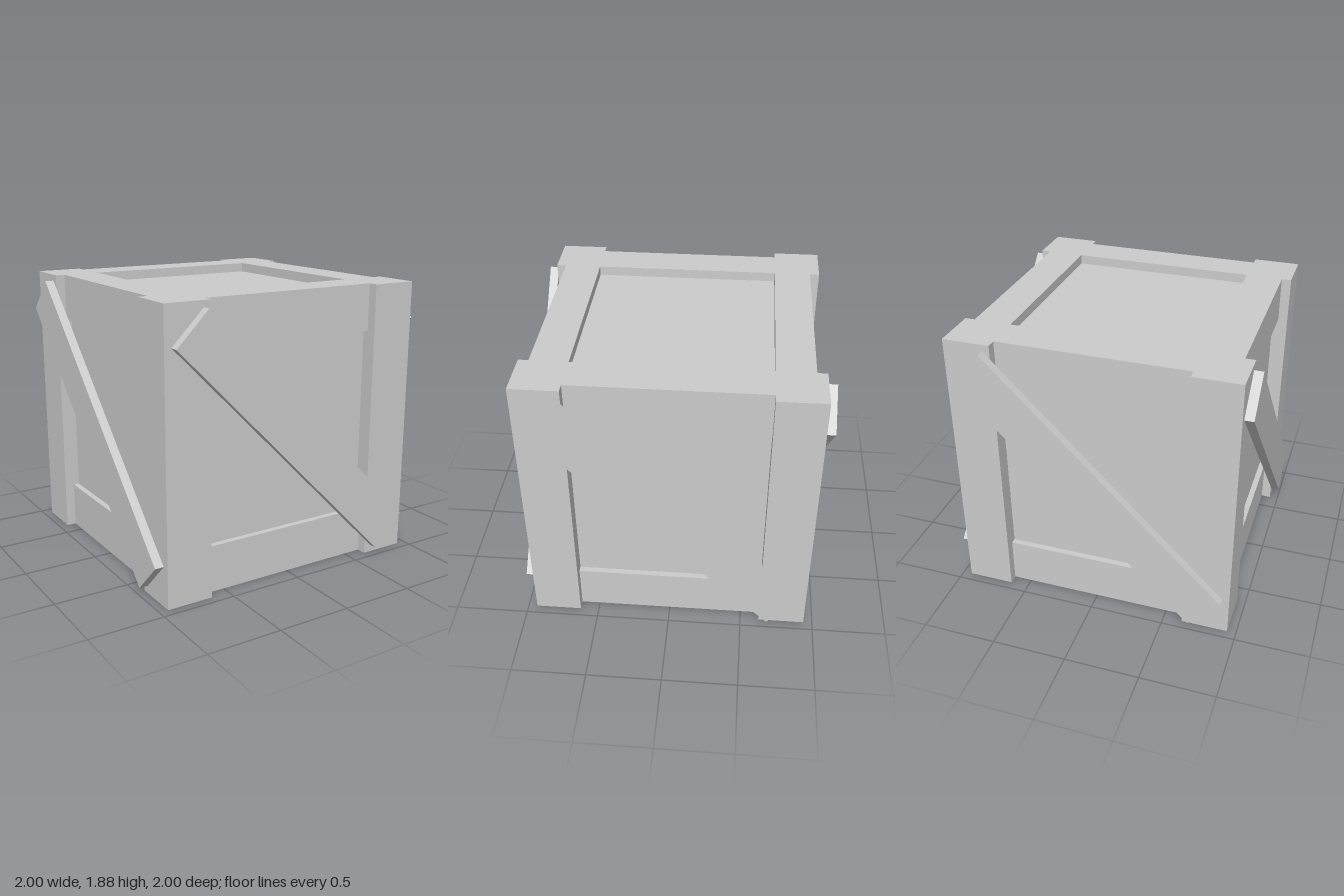
import * as THREE from 'three';

const SIZE = 1.88;        // crate body edge length
const HALF = SIZE / 2;
const BEAM = 0.313;       // beam width
const INNER = HALF - BEAM;
const RAIL_FACE = 0.875;  // rails sit back from the posts
const PANEL_FACE = 0.835; // panels sit back from the rails
const RECESS = 0.065;     // depth of the top and bottom panels

const material = new THREE.MeshStandardMaterial({ color: 0xcccccc, flatShading: true });

function addBox(parent, name, size, position) {
  const mesh = new THREE.Mesh(new THREE.BoxGeometry(...size), material);
  mesh.name = name;
  mesh.position.set(...position);
  parent.add(mesh);
  return mesh;
}

export function createModel() {
  const crate = new THREE.Group();
  crate.name = 'crate';

  // Inner box forms all six recessed panels
  addBox(crate, 'panels', [PANEL_FACE * 2, SIZE - RECESS * 2, PANEL_FACE * 2], [0, HALF, 0]);

  // Each side: one corner post, two rails and a diagonal brace
  const railDepth = RAIL_FACE - INNER;
  const postCentre = HALF - BEAM / 2;
  ['front', 'left', 'back', 'right'].forEach((label, i) => {
    const side = new THREE.Group();
    side.name = label + 'Side';
    side.rotation.y = i * Math.PI / 2;

    addBox(side, 'cornerPost', [BEAM, SIZE, BEAM], [postCentre, HALF, postCentre]);
    addBox(side, 'bottomRail', [INNER * 2, BEAM, railDepth], [0, BEAM / 2, INNER + railDepth / 2]);
    addBox(side, 'topRail', [INNER * 2, BEAM, railDepth], [0, SIZE - BEAM / 2, INNER + railDepth / 2]);

    const brace = addBox(side, 'diagonalBrace', [2.22, 0.306, 0.06], [0, 0.945, 0.97]);
    brace.rotation.z = -Math.PI / 4;
    crate.add(side);
  });

  return crate;
}
